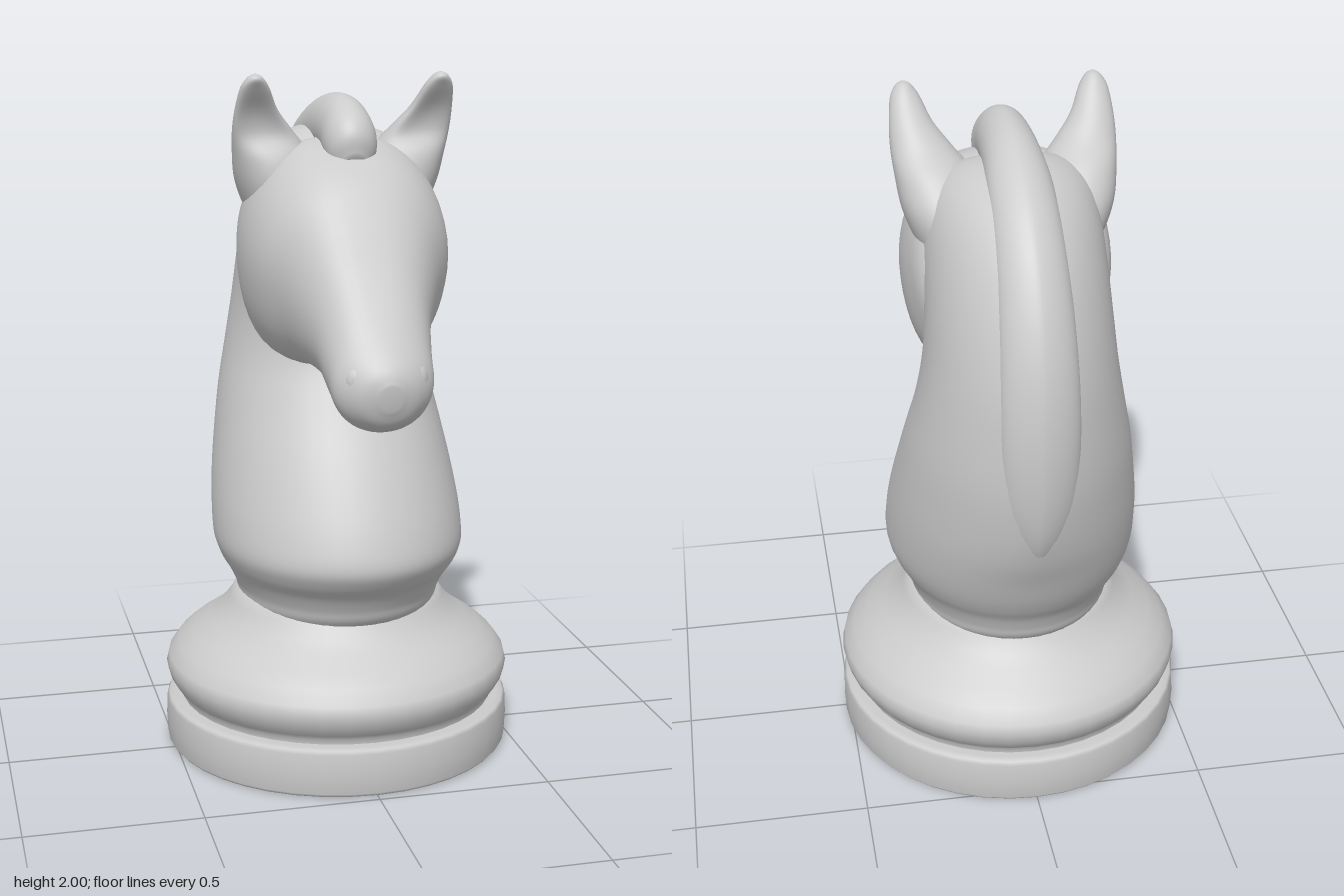
import * as THREE from 'three';

const material = new THREE.MeshStandardMaterial({ color: 0xcccccc });
const RING = 48;

// Smooth skin through cross-sections. Each row spans from point a to point b in
// the side plane: [aZ, aY, bZ, bY, halfWidth, roundA, roundB, centreX, dent].
// Roundness below 1 is boxy, above 1 pinched; dent hollows the b side.
function loft(name, rows, steps = 5) {
  const curve = (f) => new THREE.CatmullRomCurve3(
    rows.map((r) => new THREE.Vector3(...f(r))), false, 'catmullrom', 0.5);
  const aCurve = curve((r) => [r[7] ?? 0, r[1], r[0]]);
  const bCurve = curve((r) => [r[7] ?? 0, r[3], r[2]]);
  const sizeCurve = curve((r) => [r[4], r[8] ?? 0, 0]);
  const roundCurve = curve((r) => [r[5] ?? 1, r[6] ?? 1, 0]);
  const count = (rows.length - 1) * steps;
  const pos = [], index = [];
  for (let i = 0; i <= count; i++) {
    const u = i / count;
    const a = aCurve.getPoint(u), b = bCurve.getPoint(u);
    const size = sizeCurve.getPoint(u), round = roundCurve.getPoint(u);
    for (let j = 0; j < RING; j++) {
      const t = (j / RING) * Math.PI * 2;
      const c = Math.cos(t), n = Math.sin(t);
      const along = (1 - c) / 2 - size.y * Math.max(0, -c) ** 2;
      const p = a.clone().lerp(b, along);
      const bulge = Math.abs(n) ** (c < 0 ? round.y : round.x);
      pos.push(p.x + size.x * Math.sign(n) * bulge, p.y, p.z);
      if (i < count) {
        const k = i * RING, j2 = (j + 1) % RING;
        index.push(k + j, k + RING + j, k + j2, k + j2, k + RING + j, k + RING + j2);
      }
    }
  }
  // end caps
  for (const i of [0, count]) {
    const mid = aCurve.getPoint(i / count).lerp(bCurve.getPoint(i / count), 0.5);
    const m = pos.length / 3;
    pos.push(mid.x, mid.y, mid.z);
    for (let j = 0; j < RING; j++) {
      const p = i * RING + j, q = i * RING + ((j + 1) % RING);
      if (i === 0) index.push(m, p, q);
      else index.push(m, q, p);
    }
  }
  const geometry = new THREE.BufferGeometry();
  geometry.setAttribute('position', new THREE.Float32BufferAttribute(pos, 3));
  geometry.setIndex(index);
  geometry.computeVertexNormals();
  const mesh = new THREE.Mesh(geometry, material);
  mesh.name = name;
  return mesh;
}

function turned(name, profile) {
  const points = profile.map(([r, y]) => new THREE.Vector2(r, y));
  const mesh = new THREE.Mesh(new THREE.LatheGeometry(points, 40), material);
  mesh.name = name;
  mesh.position.z = -0.032;
  return mesh;
}

export function createModel() {
  const model = new THREE.Group();
  model.name = 'chessKnight';

  // Foot disc and the rounded collar above it
  model.add(turned('footDisc', [
    [0, 0], [0.5, 0], [0.507, 0.002], [0.515, 0.012], [0.518, 0.07], [0.515, 0.13],
    [0.508, 0.14], [0.49, 0.145], [0, 0.146],
  ]));
  model.add(turned('baseCollar', [
    [0.47, 0.14], [0.47, 0.16], [0.485, 0.175], [0.505, 0.205], [0.515, 0.24], [0.508, 0.27],
    [0.478, 0.31], [0.435, 0.345], [0.385, 0.378], [0.348, 0.41], [0.322, 0.445], [0.305, 0.475],
    [0.27, 0.49], [0, 0.49],
  ]));

  // Neck: a is the back edge, b the throat
  model.add(loft('neck', [
    [-0.31, 0.4, 0.25, 0.4, 0.26],
    [-0.36, 0.455, 0.3, 0.455, 0.292],
    [-0.375, 0.495, 0.318, 0.495, 0.302],
    [-0.395, 0.54, 0.345, 0.54, 0.322],
    [-0.425, 0.585, 0.385, 0.585, 0.348],
    [-0.455, 0.64, 0.41, 0.64, 0.366],
    [-0.49, 0.72, 0.39, 0.72, 0.367, 1.0],
    [-0.535, 0.82, 0.345, 0.82, 0.358, 1.1],
    [-0.568, 0.93, 0.285, 0.93, 0.342, 1.2],
    [-0.588, 1.06, 0.21, 1.05, 0.32, 1.25],
    [-0.588, 1.2, 0.145, 1.17, 0.292, 1.25],
    [-0.573, 1.36, 0.13, 1.26, 0.27, 1.25],
    [-0.525, 1.52, 0.14, 1.35, 0.258, 1.25],
    [-0.44, 1.67, 0.17, 1.43, 0.252, 1.2],
    [-0.32, 1.785, 0.19, 1.5, 0.248, 1.1],
    [-0.18, 1.84, 0.2, 1.55, 0.24, 0.95],
    [-0.04, 1.84, 0.2, 1.6, 0.21, 0.9],
    [0.07, 1.77, 0.2, 1.62, 0.14, 0.9],
  ]));

  // Head from the back of the cheeks to the muzzle: a is the brow, b the jaw
  model.add(loft('head', [
    [-0.18, 1.66, -0.22, 1.5, 0.13, 0.9, 0.9],
    [-0.1, 1.77, -0.21, 1.34, 0.25, 0.8, 0.75],
    [0.03, 1.82, -0.15, 1.235, 0.287, 0.75, 0.6],
    [0.17, 1.785, -0.05, 1.185, 0.296, 0.8, 0.5],
    [0.27, 1.72, 0.08, 1.175, 0.275, 0.85, 0.5],
    [0.34, 1.63, 0.21, 1.185, 0.22, 0.75, 0.55],
    [0.42, 1.5, 0.34, 1.155, 0.168, 0.72, 0.7],
    [0.49, 1.395, 0.43, 1.095, 0.148, 0.8, 0.85],
    [0.548, 1.31, 0.5, 1.07, 0.135, 0.95, 0.95],
    [0.588, 1.255, 0.56, 1.095, 0.085, 1, 1],
    [0.602, 1.215, 0.59, 1.145, 0.03, 1, 1],
  ]));

  // Mane ridge up the back and over the poll to the forelock: a is the outer edge
  model.add(loft('mane', [
    [-0.47, 0.74, -0.4, 0.74, 0.03, 1.2],
    [-0.55, 0.86, -0.42, 0.86, 0.07, 1.25],
    [-0.59, 1.0, -0.45, 1.0, 0.1, 1.3],
    [-0.604, 1.18, -0.46, 1.17, 0.11, 1.3],
    [-0.59, 1.36, -0.44, 1.32, 0.11, 1.3],
    [-0.547, 1.52, -0.4, 1.46, 0.105, 1.3],
    [-0.47, 1.67, -0.34, 1.57, 0.1, 1.25],
    [-0.365, 1.79, -0.26, 1.67, 0.095, 1.2],
    [-0.24, 1.875, -0.17, 1.73, 0.09, 1.15],
    [-0.11, 1.925, -0.08, 1.75, 0.082, 1.1],
    [0.02, 1.938, 0.01, 1.75, 0.077, 1.1],
    [0.11, 1.922, 0.06, 1.74, 0.075, 1],
    [0.175, 1.885, 0.09, 1.73, 0.076, 1],
    [0.208, 1.835, 0.12, 1.71, 0.066, 1],
    [0.207, 1.775, 0.15, 1.69, 0.04, 1],
  ]));

  // Ears hollowed at the front, sinking into the head, and nostril swellings
  for (const side of [1, -1]) {
    const label = side > 0 ? 'left' : 'right';
    model.add(loft(label + 'Ear', [
      [-0.16, 1.5, 0.06, 1.5, 0.06, 1, 1, 0.13 * side],
      [-0.18, 1.6, 0.09, 1.59, 0.09, 1, 1, 0.165 * side],
      [-0.17, 1.7, 0.11, 1.68, 0.112, 1, 1, 0.182 * side],
      [-0.11, 1.785, 0.12, 1.765, 0.108, 1, 1, 0.2 * side, 0.1],
      [-0.03, 1.85, 0.11, 1.83, 0.085, 1, 1, 0.229 * side, 0.3],
      [0.025, 1.91, 0.12, 1.89, 0.06, 1, 1, 0.252 * side, 0.35],
      [0.072, 1.965, 0.145, 1.955, 0.041, 1, 1, 0.262 * side, 0.2],
      [0.1, 1.993, 0.15, 1.985, 0.022, 1, 1, 0.264 * side, 0.05],
      [0.12, 2.0, 0.135, 1.998, 0.006, 1, 1, 0.264 * side],
    ]));
    const nostril = new THREE.Mesh(new THREE.SphereGeometry(0.035, 16, 12), material);
    nostril.name = label + 'Nostril';
    nostril.scale.set(1, 1.3, 0.8);
    nostril.position.set(0.08 * side, 1.22, 0.54);
    model.add(nostril);
  }
  return model;
}
